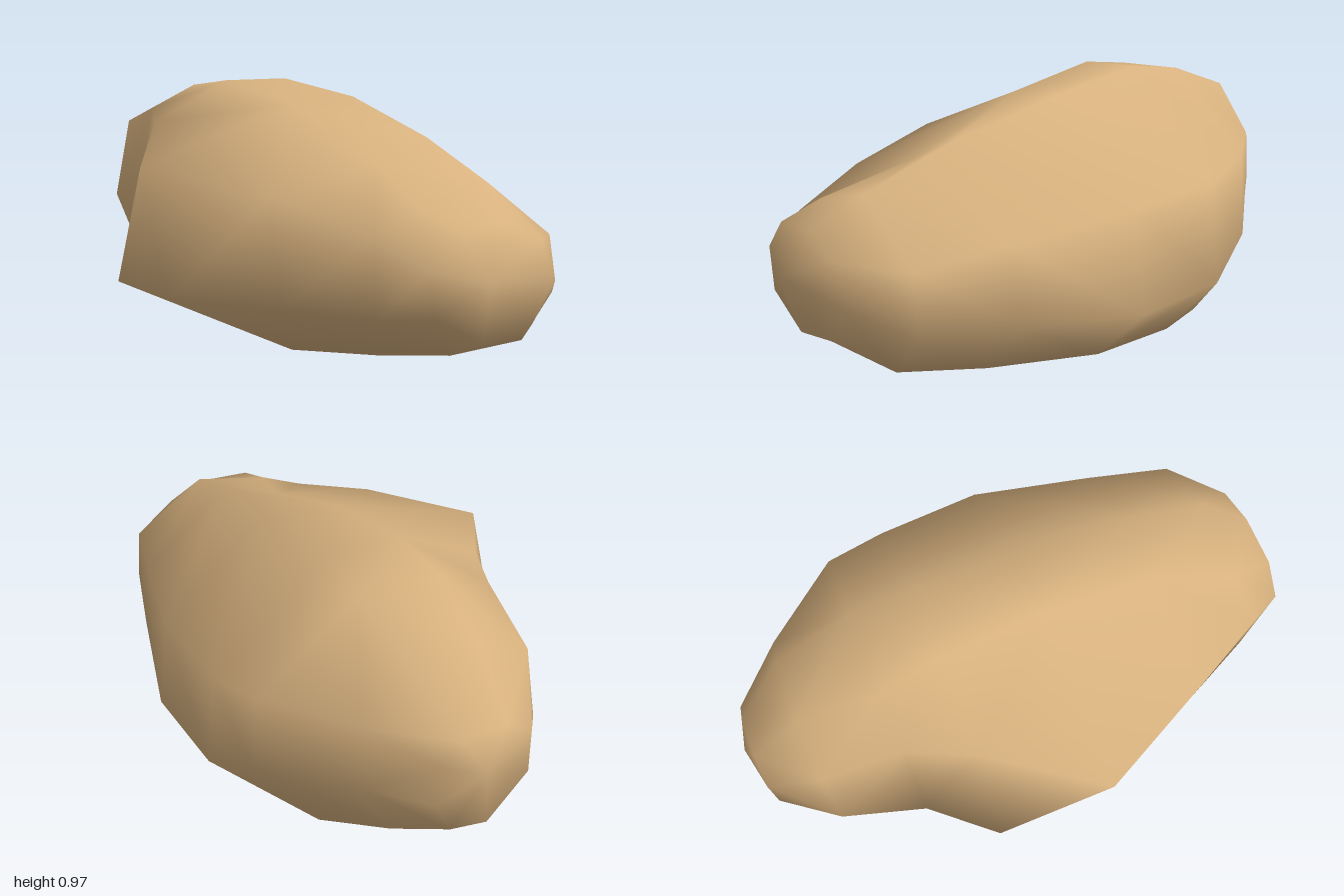
import * as THREE from 'three';

// Cross-sections from front to back: z, then x, y pairs running
// right side, right shoulder, crest right, crest left,
// left shoulder, left lower edge, keel, right lower edge
const SECTIONS = [
  [0.95, 0.31, 0.38, 0.25, 0.51, 0.10, 0.57, -0.08, 0.56, -0.18, 0.46, -0.16, 0.32, 0.02, 0.23, 0.22, 0.26],
  [0.80, 0.46, 0.30, 0.44, 0.49, 0.17, 0.67, -0.10, 0.61, -0.26, 0.54, -0.25, 0.30, 0.03, 0.155, 0.33, 0.16],
  [0.50, 0.53, 0.29, 0.50, 0.53, 0.18, 0.79, -0.03, 0.71, -0.42, 0.63, -0.39, 0.29, 0.00, 0.09, 0.37, 0.11],
  [0.07, 0.62, 0.26, 0.57, 0.59, 0.20, 0.91, -0.06, 0.89, -0.635, 0.70, -0.54, 0.265, -0.06, 0.02, 0.40, 0.06],
  [-0.30, 0.58, 0.28, 0.54, 0.62, 0.15, 0.97, -0.105, 0.965, -0.40, 0.82, -0.555, 0.26, 0.01, 0.01, 0.35, 0.05],
  [-0.51, 0.50, 0.40, 0.48, 0.68, 0.15, 0.95, -0.13, 0.945, -0.31, 0.86, -0.40, 0.40, 0.04, 0.0, 0.28, 0.06],
  [-0.78, 0.27, 0.46, 0.26, 0.70, 0.12, 0.87, -0.10, 0.885, -0.28, 0.80, -0.34, 0.51, -0.09, 0.205, 0.16, 0.23],
  [-0.96, 0.12, 0.49, 0.11, 0.64, 0.04, 0.71, -0.10, 0.72, -0.19, 0.66, -0.20, 0.49, -0.07, 0.33, 0.06, 0.36],
];
const FRONT_TIP = [0, 0.41, 1];
const BACK_TIP = [-0.02, 0.59, -1];
const RING = 8;

// Skins the sections and closes both ends with a fan
function boulderGeometry() {
  const points = [];
  for (const [z, ...p] of SECTIONS) {
    for (let j = 0; j < RING; j++) points.push(new THREE.Vector3(p[j * 2], p[j * 2 + 1], z));
  }
  const front = points.length;
  const back = front + 1;
  points.push(new THREE.Vector3(...FRONT_TIP), new THREE.Vector3(...BACK_TIP));

  const index = [];
  const last = (SECTIONS.length - 1) * RING;
  for (let j = 0; j < RING; j++) {
    const k = (j + 1) % RING;
    for (let i = 0; i < last; i += RING) {
      const a = i + j, b = i + k, c = a + RING, d = b + RING;
      // Each patch is split along its shorter diagonal
      if (points[a].distanceTo(points[d]) < points[b].distanceTo(points[c])) {
        index.push(a, c, d, a, d, b);
      } else {
        index.push(a, c, b, b, c, d);
      }
    }
    index.push(front, j, k, back, last + k, last + j);
  }
  const geometry = new THREE.BufferGeometry().setFromPoints(points);
  geometry.setIndex(index);
  geometry.computeVertexNormals();
  return geometry;
}

export function createModel() {
  const group = new THREE.Group();
  group.name = 'rock';
  const sandstone = new THREE.MeshStandardMaterial({ color: 0xd8b27f });
  sandstone.name = 'sandstone';
  const boulder = new THREE.Mesh(boulderGeometry(), sandstone);
  boulder.name = 'boulder';
  group.add(boulder);
  return group;
}
